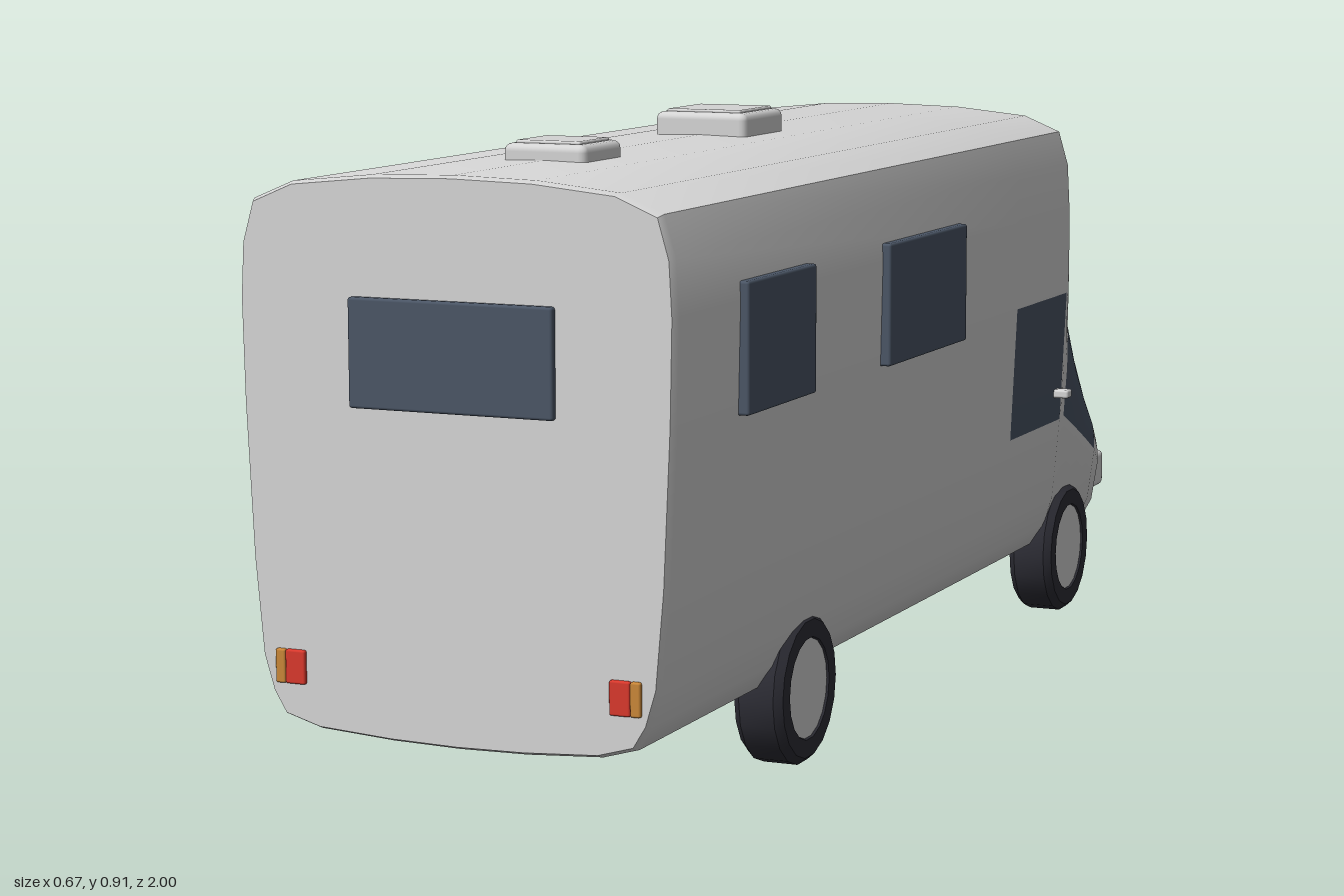
import * as THREE from 'three';
import { toCreasedNormals } from 'three/addons/utils/BufferGeometryUtils.js';
import { RoundedBoxGeometry } from 'three/addons/geometries/RoundedBoxGeometry.js';

const mat = (name, color) => {
  const m = new THREE.MeshStandardMaterial({ color });
  m.name = name;
  return m;
};

// Half cross-section of the living body, bottom centre to top centre
const BODY = [[0, 0.106], [0.1, 0.108], [0.21, 0.115], [0.262, 0.13], [0.28, 0.16], [0.295, 0.21],
  [0.307, 0.345], [0.317, 0.56], [0.32, 0.7], [0.316, 0.775], [0.3, 0.83], [0.24, 0.855], [0.12, 0.867], [0, 0.87]];
// Rounder upper half for the cab: x and height fraction above the sill
const CAB = [[0.307, 0], [0.306, 0.28], [0.303, 0.48], [0.295, 0.65], [0.275, 0.79], [0.215, 0.91], [0.115, 0.975], [0, 1]];
const SILL = 6;

// Stations along the vehicle: z, width scale, top, sill, bottom, cab roundness
const STATIONS = [
  [0.99, 0.985, 0.866, 0.345, 0.111, 0],
  [0.978, 1, 0.87, 0.345, 0.106, 0],
  [-0.36, 1, 0.87, 0.345, 0.106, 0],
  [-0.615, 1, 0.87, 0.345, 0.106, 0],
  [-0.624, 0.995, 0.76, 0.345, 0.106, 0.05],
  [-0.633, 0.99, 0.67, 0.345, 0.106, 0.15],
  [-0.643, 0.985, 0.605, 0.345, 0.106, 0.3],
  [-0.655, 0.98, 0.578, 0.345, 0.106, 0.4],
  [-0.72, 0.98, 0.492, 0.316, 0.106, 0.7],
  [-0.78, 0.978, 0.418, 0.288, 0.106, 0.9],
  [-0.84, 0.97, 0.35, 0.26, 0.106, 1],
  [-0.9, 0.93, 0.306, 0.228, 0.107, 1],
  [-0.95, 0.84, 0.268, 0.205, 0.118, 1],
  [-0.97, 0.76, 0.245, 0.195, 0.138, 1],
  [-0.98, 0.66, 0.218, 0.188, 0.163, 1],
];

function section([z, k, top, sill, bottom, round]) {
  const half = BODY.map(([x, y], i) => {
    if (i < SILL) return [x * k, bottom + (y - 0.106) / 0.239 * (sill - bottom), z];
    const [cx, cu] = CAB[i - SILL];
    const u = THREE.MathUtils.lerp((y - 0.345) / 0.525, cu, round);
    return [THREE.MathUtils.lerp(x, cx, round) * k, sill + u * (top - sill), z];
  });
  const mirrored = half.slice(1, -1).reverse().map(([x, y]) => [-x, y, z]);
  return [...half, ...mirrored];
}

// One lofted shell, with cab windows and windscreen as glass faces
function shellGeometry() {
  const rings = STATIONS.map(section);
  const n = rings[0].length;
  const paint = [], glass = [];
  for (let j = 0; j < rings.length - 1; j++) {
    const z0 = STATIONS[j][0], z1 = STATIONS[j + 1][0];
    for (let i = 0; i < n; i++) {
      const i2 = (i + 1) % n;
      const a = rings[j][i], b = rings[j][i2], c = rings[j + 1][i], d = rings[j + 1][i2];
      const windscreen = z0 <= -0.655 && z1 >= -0.84 && i >= SILL && i < n - SILL;
      const cabWindow = z0 === -0.36 && (i === SILL || i === n - SILL - 1);
      (windscreen || cabWindow ? glass : paint).push(...a, ...c, ...b, ...b, ...c, ...d);
    }
  }
  // end caps
  [rings[0], rings[rings.length - 1]].forEach((ring, e) => {
    const mid = [0, (ring[0][1] + ring[13][1]) / 2, ring[0][2]];
    for (let i = 0; i < n; i++) {
      const p = ring[i], q = ring[(i + 1) % n];
      paint.push(...mid, ...(e ? q : p), ...(e ? p : q));
    }
  });
  const g = new THREE.BufferGeometry();
  g.setAttribute('position', new THREE.Float32BufferAttribute([...paint, ...glass], 3));
  g.addGroup(0, paint.length / 3, 0);
  g.addGroup(paint.length / 3, glass.length / 3, 1);
  return toCreasedNormals(g, 0.75);
}

export function createModel() {
  const model = new THREE.Group();
  model.name = 'motorhome';
  const paint = mat('body paint', 0xd4d4d4);
  const glass = mat('dark glass', 0x4a5565);
  const rubber = mat('tyre black', 0x2c2c34);
  const red = mat('tail lamp red', 0xd8382c);
  const amber = mat('indicator amber', 0xc88638);

  const add = (name, geometry, material) => {
    const m = new THREE.Mesh(geometry, material);
    m.name = name;
    model.add(m);
    return m;
  };
  // box given by its extents, optionally with rounded edges
  const box = (name, material, [x0, x1], [y0, y1], [z0, z1], r = 0) => {
    const s = [Math.abs(x1 - x0), y1 - y0, Math.abs(z1 - z0)];
    const g = r ? new RoundedBoxGeometry(...s, 2, r) : new THREE.BoxGeometry(...s);
    const m = add(name, g, material);
    m.position.set((x0 + x1) / 2, (y0 + y1) / 2, (z0 + z1) / 2);
    return m;
  };

  add('bodyShell', shellGeometry(), [paint, glass]);

  // Windows at the rear and above the cab
  box('rearWindow', glass, [-0.15, 0.15], [0.558, 0.706], [0.98, 1], 0.004);
  box('overCabWindow', glass, [-0.18, 0.18], [0.722, 0.768], [-0.61, -0.634], 0.004);

  // Roof vents: a base with a raised lid
  for (const [name, w, z0, z1, top] of [['largeVent', 0.074, 0.04, 0.19, 0.907], ['smallVent', 0.063, 0.595, 0.717, 0.896]]) {
    box(name, paint, [-w, w], [0.855, top - 0.004], [z0, z1], 0.011);
    box(name + 'Lid', paint, [-w + 0.014, w - 0.014], [top - 0.012, top], [z0 + 0.014, z1 - 0.014], 0.003);
  }

  // Bumper
  box('bumper', rubber, [-0.18, 0.18], [0.115, 0.17], [-0.955, -1], 0.004);

  // Tyre profile: radius against width, turned about the axle
  const tyre = [[0.07, -0.037], [0.1, -0.037], [0.11, -0.026], [0.11, 0.026], [0.1, 0.037], [0.074, 0.037], [0.07, 0.03]]
    .map(([r, h]) => new THREE.Vector2(r, h));
  const tyreGeo = toCreasedNormals(new THREE.LatheGeometry(tyre, 18), 0.4);
  const hubGeo = new THREE.CylinderGeometry(0.073, 0.073, 0.068, 18);

  for (const s of [1, -1]) {
    const side = s > 0 ? 'left' : 'right';
    box(side + 'RearSideWindow', glass, [s * 0.3, s * 0.332], [0.545, 0.725], [0.54, 0.78], 0.004);
    box(side + 'MiddleSideWindow', glass, [s * 0.3, s * 0.332], [0.545, 0.725], [-0.075, 0.255], 0.004);
    box(side + 'DoorHandle', paint, [s * 0.3, s * 0.334], [0.386, 0.4], [-0.6, -0.575], 0.004);

    // Tail lamp with outer indicator
    box(side + 'TailLamp', red, [s * 0.226, s * 0.256], [0.176, 0.223], [0.98, 0.996], 0.003);
    box(side + 'TailIndicator', amber, [s * 0.256, s * 0.271], [0.176, 0.223], [0.98, 0.996], 0.003);

    // Headlamp with outer indicator
    box(side + 'Headlamp', paint, [s * 0.185, s * 0.272], [0.175, 0.238], [-0.915, -0.977], 0.01);
    box(side + 'FrontIndicator', amber, [s * 0.236, s * 0.266], [0.182, 0.231], [-0.97, -0.981]);

    for (const [end, z] of [['Front', -0.705], ['Rear', 0.48]]) {
      const wheel = new THREE.Group();
      wheel.name = side + end + 'Wheel';
      const t = new THREE.Mesh(tyreGeo, rubber);
      t.name = 'tyre';
      const h = new THREE.Mesh(hubGeo, paint);
      h.name = 'hub';
      wheel.add(t, h);
      wheel.rotation.z = -s * Math.PI / 2;
      wheel.position.set(s * 0.261, 0.11, z);
      model.add(wheel);
    }
  }
  return model;
}
